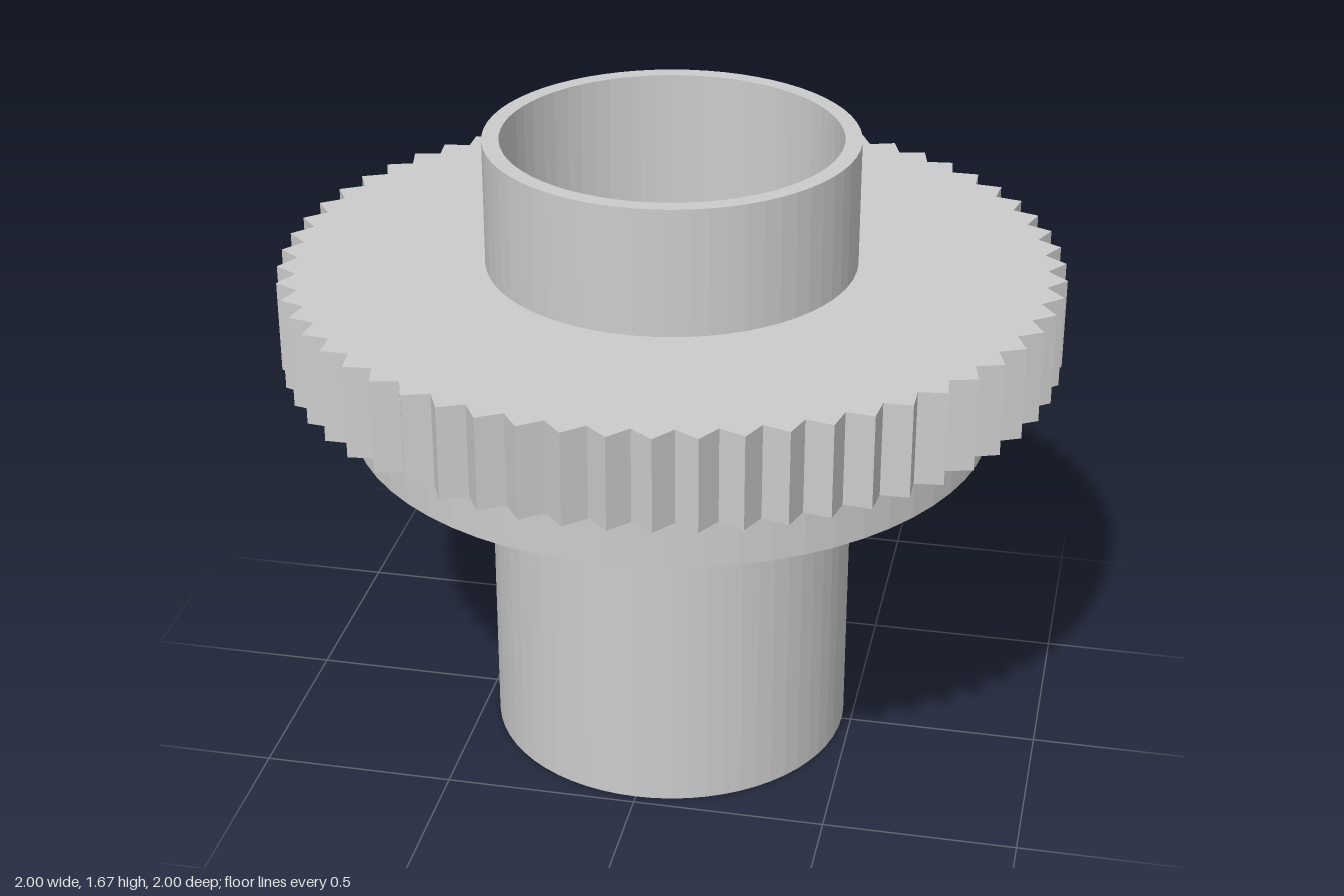
import * as THREE from 'three';

const OUTER = 0.475, BORE = 0.432, FLANGE = 0.832, SIDES = 64;

// Points on a circle, optionally cut flat on the -x side
function ring(radius, minX = -Infinity, n = SIDES) {
  return Array.from({ length: n }, (_, i) => {
    const a = (i / n) * Math.PI * 2;
    return new THREE.Vector2(Math.max(radius * Math.cos(a), minX), radius * Math.sin(a));
  });
}

// Plate with a round hole, standing between two heights
function plate(name, outline, hole, y0, y1, material) {
  const shape = new THREE.Shape(outline);
  shape.holes.push(new THREE.Path(ring(hole)));
  const geometry = new THREE.ExtrudeGeometry(shape, { depth: y1 - y0, bevelEnabled: false });
  geometry.rotateX(-Math.PI / 2).translate(0, y0, 0);
  const mesh = new THREE.Mesh(geometry, material);
  mesh.name = name;
  return mesh;
}

export function createModel() {
  const group = new THREE.Group();
  group.name = 'toothedSleeve';
  const material = new THREE.MeshStandardMaterial({ color: 0xcccccc, flatShading: true });

  // Sixty pointed teeth, with a valley on each axis
  const teeth = 60;
  const toothOutline = Array.from({ length: teeth * 2 }, (_, i) => {
    const a = (i / (teeth * 2)) * Math.PI * 2;
    const r = i % 2 ? 1.001 : 0.953;
    return new THREE.Vector2(r * Math.cos(a), r * Math.sin(a));
  });

  group.add(
    plate('tube', ring(OUTER), BORE, 0, 1.67, material),
    plate('flange', ring(FLANGE), OUTER, 0.91, 1.05, material),
    // Upper flange has a shallow flat under the teeth
    plate('flangeWithFlat', ring(FLANGE, -0.8), OUTER, 1.05, 1.1, material),
    plate('toothedRing', toothOutline, OUTER, 1.1, 1.34, material),
  );
  return group;
}
